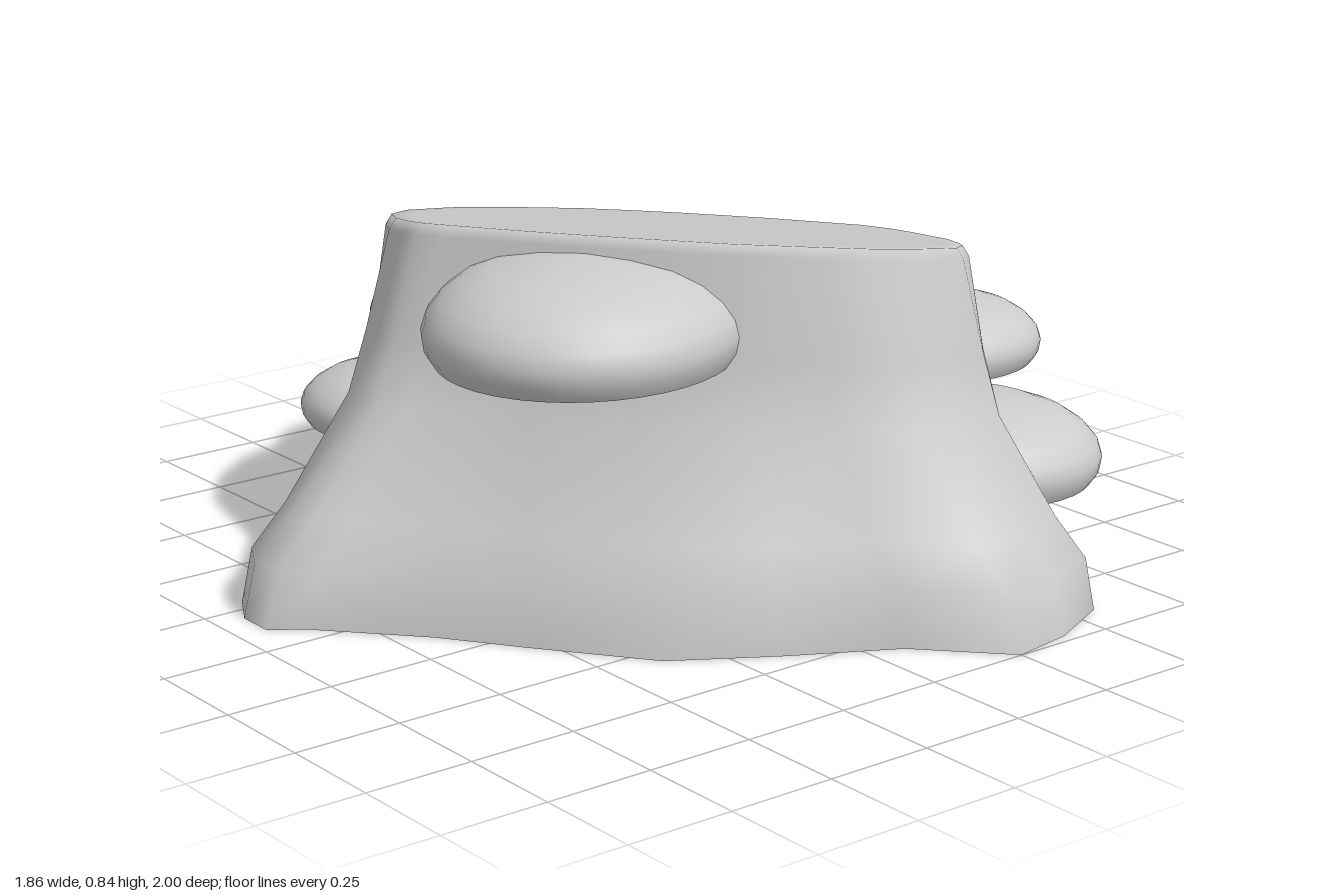
import * as THREE from 'three';
import { toCreasedNormals } from 'three/addons/utils/BufferGeometryUtils.js';

const CENTRE = [0.12, -0.04];

// Around the trunk: rim x, rim z, ground x, ground z (three roots flare outward)
const OUTLINE = [
  [-0.485, -0.2, -0.93, -0.2], [-0.455, -0.3, -0.88, -0.29], [-0.38, -0.43, -0.62, -0.43],
  [-0.25, -0.56, -0.4, -0.62], [-0.06, -0.65, -0.12, -0.74], [0.1, -0.67, 0.1, -0.8],
  [0.22, -0.65, 0.28, -0.84], [0.32, -0.63, 0.47, -0.9], [0.41, -0.57, 0.62, -1],
  [0.5, -0.49, 0.78, -0.98], [0.57, -0.4, 0.875, -0.86], [0.64, -0.3, 0.865, -0.68],
  [0.69, -0.19, 0.825, -0.45], [0.74, -0.08, 0.85, -0.2], [0.735, 0.03, 0.885, 0],
  [0.7, 0.15, 0.84, 0.2], [0.62, 0.36, 0.74, 0.42], [0.55, 0.47, 0.64, 0.62],
  [0.505, 0.53, 0.6, 0.76], [0.42, 0.6, 0.565, 0.9], [0.3, 0.615, 0.4, 0.975],
  [0.17, 0.61, 0.25, 1], [0.05, 0.55, 0.08, 0.82], [-0.1, 0.46, -0.16, 0.69],
  [-0.25, 0.28, -0.37, 0.56], [-0.37, 0.1, -0.55, 0.32], [-0.43, -0.02, -0.67, 0.15],
  [-0.46, -0.09, -0.86, -0.06], [-0.485, -0.15, -0.93, -0.11],
];

// Going up: share of the cut height, share of the flare, the same on the
// straighter back root, scale about the centre
const RINGS = [
  [0, 1, 1, 1], [0.15, 0.93, 0.83, 1], [0.26, 0.71, 0.67, 1], [0.53, 0.3, 0.33, 1],
  [0.7, 0.18, 0.12, 1], [0.97, 0.02, 0.02, 1], [1, 0, 0, 0.985], [1, 0, 0, 0.92], [1, 0, 0, 0.45],
];
const onBackRoot = (i) => i >= 8 && i <= 11;

// Slanted saw cut
const cutHeight = (x, z) => 0.77 - 0.157 * x + 0.125 * z;

function stumpGeometry() {
  const pos = [], index = [], n = OUTLINE.length;
  for (const [h, flare, backFlare, scale] of RINGS) {
    OUTLINE.forEach(([rx, rz, gx, gz], i) => {
      const f = onBackRoot(i) ? backFlare : flare;
      const tx = CENTRE[0] + (rx - CENTRE[0]) * scale;
      const tz = CENTRE[1] + (rz - CENTRE[1]) * scale;
      pos.push(tx + (gx - rx) * f, h * cutHeight(tx, tz), tz + (gz - rz) * f);
    });
  }
  for (let r = 0; r < RINGS.length - 1; r++) {
    for (let i = 0; i < n; i++) {
      const a = r * n + i, b = r * n + (i + 1) % n;
      index.push(a, a + n, b, b, a + n, b + n);
    }
  }
  // Close the cut face, leaving the underside open
  const top = (RINGS.length - 1) * n, mid = RINGS.length * n;
  pos.push(CENTRE[0], cutHeight(...CENTRE), CENTRE[1]);
  for (let i = 0; i < n; i++) index.push(top + i, mid, top + (i + 1) % n);

  const geo = new THREE.BufferGeometry();
  geo.setAttribute('position', new THREE.Float32BufferAttribute(pos, 3));
  geo.setIndex(index);
  geo.computeVertexNormals();
  return geo;
}

// Half dome with a flat underside, its open back reaching just inside the trunk
function bracketGeometry(radius, height) {
  const profile = [[0, 0], [0.93, 0], [0.985, 0.14], [1, 0.3], [0.97, 0.46], [0.89, 0.62],
    [0.76, 0.77], [0.57, 0.89], [0.3, 0.97], [0, 1]]
    .map(([r, y]) => new THREE.Vector2(r * radius, y * height));
  const geo = new THREE.LatheGeometry(profile, 22, -Math.PI / 2 - 0.2, Math.PI + 0.4);
  const p = geo.attributes.position;
  for (let i = 0; i < p.count; i++) p.setZ(i, p.getZ(i) * 1.14 - 0.14 * radius);
  return toCreasedNormals(geo, 0.8);
}

export function createModel() {
  const model = new THREE.Group();
  model.name = 'treeStump';
  const material = new THREE.MeshStandardMaterial({ color: 0xcccccc, side: THREE.DoubleSide });

  const stump = new THREE.Mesh(stumpGeometry(), material);
  stump.name = 'stump';
  model.add(stump);

  // Bracket fungi: name, x, z, underside height, radius, thickness
  for (const [name, x, z, y, radius, height] of [
    ['frontBracket', -0.34, 0.225, 0.58, 0.345, 0.225],
    ['sideUpperBracket', 0.685, 0.24, 0.405, 0.245, 0.155],
    ['sideLowerBracket', 0.6, 0.475, 0.195, 0.285, 0.19],
    ['backUpperBracket', 0.045, -0.65, 0.38, 0.285, 0.18],
    ['backMiddleBracket', -0.235, -0.61, 0.22, 0.235, 0.145],
    ['backLowerBracket', 0.08, -0.69, 0.1, 0.22, 0.125],
  ]) {
    const bracket = new THREE.Mesh(bracketGeometry(radius, height), material);
    bracket.name = name;
    bracket.position.set(x, y, z);
    bracket.rotation.y = Math.atan2(x - CENTRE[0], z - CENTRE[1]);
    model.add(bracket);
  }
  return model;
}
